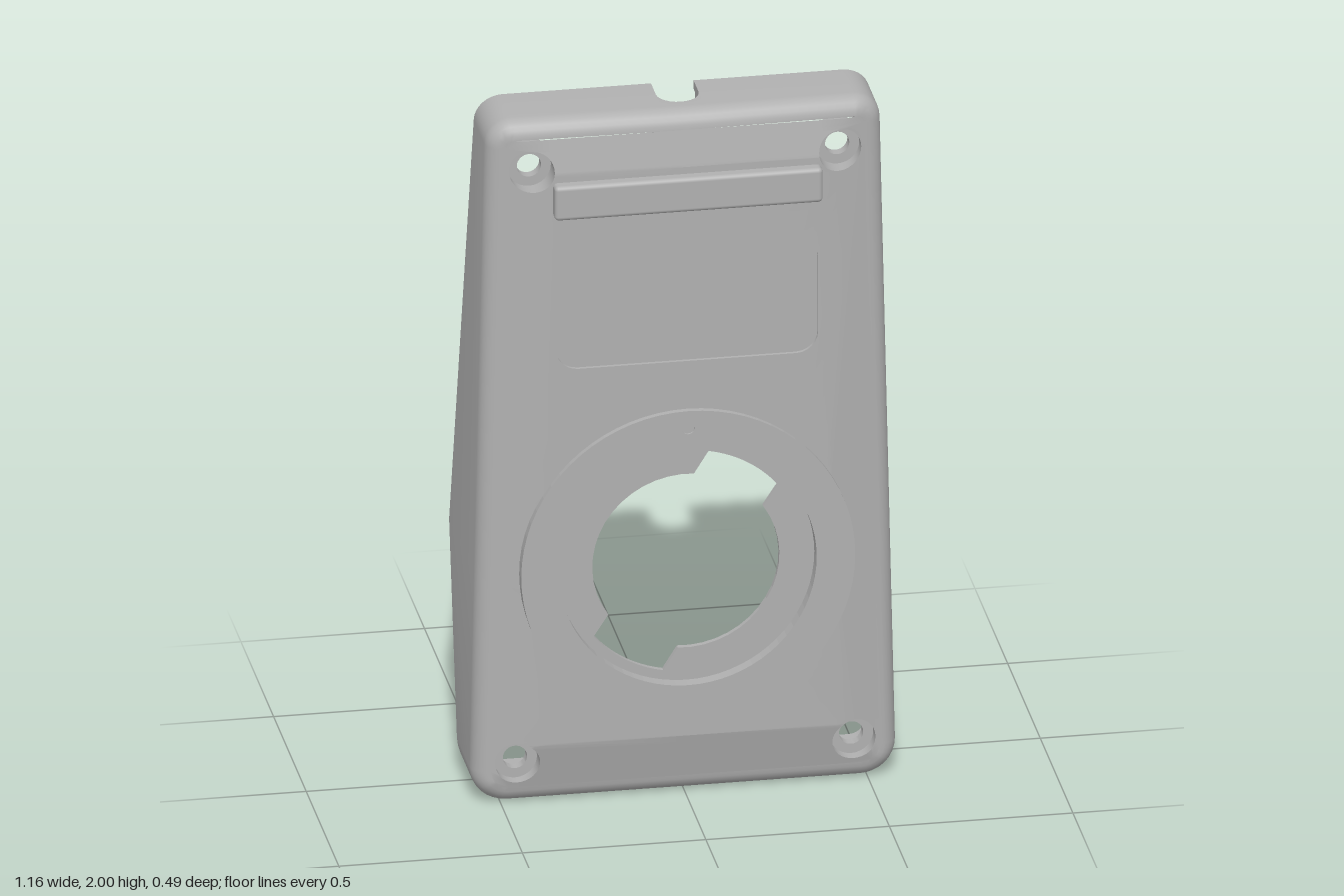
import * as THREE from 'three';
import { mergeGeometries, toCreasedNormals } from 'three/addons/utils/BufferGeometryUtils.js';
import { RoundedBoxGeometry } from 'three/addons/geometries/RoundedBoxGeometry.js';

const V2 = (x, y) => new THREE.Vector2(x, y);
const V3 = (x, y, z) => new THREE.Vector3(x, y, z);
const DIAL_Y = 0.685, WALL = 0.05, SKIN = 0.045;

// front surface: lowest of a flat plane and four gently sloping ones
const planes = [
  () => 0.213,
  (p) => 0.213 - 0.25 * (0.18 - p.y),
  (p) => 0.213 - 0.2 * (p.y - 1.85),
  (p) => 0.213 - 0.26 * (p.x + 0.0286 * (p.y - 0.2) - 0.41),
  (p) => 0.213 - 0.26 * (-p.x + 0.0286 * (p.y - 0.2) - 0.41),
];
const front = (p) => Math.min(...planes.map((f) => f(p)));
const inside = (p) => front(p) - SKIN;

// slanted back edge of the side walls
const rim = (y) => (y < 0.66 ? -0.02 - 0.225 * (y / 0.66) : -0.245 + 0.23 * ((y - 0.66) / 1.34));
const halfWidth = (y) => 0.582 - 0.0225 * y;

// tapered rounded outline, inset by d; z holds the back edge, with a cable notch at the top
function outline(d) {
  const pts = [];
  const add = (x, y, z = rim(y)) => pts.push(V3(x, y, z));
  const corner = (side, yc, r, start) => {
    for (let i = 0; i <= 8; i++) {
      const a = start + (i / 8) * Math.PI / 2;
      add(side * (halfWidth(yc) - r) + (r - d) * Math.cos(a), yc + (r - d) * Math.sin(a));
    }
  };
  corner(1, 0.1, 0.1, -Math.PI / 2);
  add(halfWidth(0.66) - d, 0.66);
  corner(1, 1.925, 0.075, 0);
  const r = 0.058;
  add(r, 2 - d);
  for (let i = 0; i <= 12; i++) {
    const a = (i / 12) * Math.PI;
    add(r * Math.cos(a), 2 - d, 0.06 + r * Math.sin(a));
  }
  add(-r, 2 - d);
  corner(-1, 1.925, 0.075, Math.PI / 2);
  add(-halfWidth(0.66) + d, 0.66);
  corner(-1, 0.1, 0.1, Math.PI);
  return pts;
}

function fromTriangles(tris) {
  return new THREE.BufferGeometry().setFromPoints(tris.flat());
}

// skin joining closed rings of points
function loft(rows) {
  const tris = [];
  for (let i = 0; i + 1 < rows.length; i++) {
    const a = rows[i], b = rows[i + 1], n = a.length;
    for (let j = 0; j < n; j++) {
      const k = (j + 1) % n;
      tris.push([a[j], a[k], b[k]], [a[j], b[k], b[j]]);
    }
  }
  return fromTriangles(tris);
}

const ring = (pts, z) => pts.map((p) => V3(p.x, p.y, typeof z === 'function' ? z(p) : z));

function circle(x, y, r, n = 32) {
  return Array.from({ length: n }, (_, i) => {
    const a = (i / n) * Math.PI * 2;
    return V2(x + r * Math.cos(a), y + r * Math.sin(a));
  });
}

function roundRect(x, y, w, h, r) {
  const pts = [];
  [[1, -1], [1, 1], [-1, 1], [-1, -1]].forEach(([sx, sy], c) => {
    for (let i = 0; i <= 6; i++) {
      const a = (c - 1 + i / 6) * Math.PI / 2;
      pts.push(V2(x + sx * (w / 2 - r) + r * Math.cos(a), y + sy * (h / 2 - r) + r * Math.sin(a)));
    }
  });
  return pts;
}

function shapeOf(pts, holes = []) {
  const s = new THREE.Shape(pts.map((p) => V2(p.x, p.y)));
  s.holes = holes.map((h) => new THREE.Path(h));
  return s;
}

// cut triangles along the line where g is zero
function split(tris, g) {
  return tris.flatMap((t) => {
    const v = t.map(g);
    if (v.every((x) => x > -1e-6) || v.every((x) => x < 1e-6)) return [t];
    const s = v.map((x) => x > 0);
    const k = [0, 1, 2].find((i) => s[i] !== s[(i + 1) % 3] && s[i] !== s[(i + 2) % 3]);
    const l = (k + 1) % 3, m = (k + 2) % 3;
    const ab = t[k].clone().lerp(t[l], v[k] / (v[k] - v[l]));
    const ac = t[k].clone().lerp(t[m], v[k] / (v[k] - v[m]));
    return [[t[k], ab, ac], [ab, t[l], t[m]], [ab, t[m], ac]];
  });
}

// pierced sheet folded onto the height z(p)
function sheet(pts, holes, z, facingBack = false) {
  const pos = new THREE.ShapeGeometry(shapeOf(pts, holes)).toNonIndexed().attributes.position;
  let tris = [];
  for (let i = 0; i < pos.count; i += 3) {
    tris.push([0, 1, 2].map((k) => V3(pos.getX(i + k), pos.getY(i + k), 0)));
  }
  planes.forEach((f, i) => planes.slice(i + 1).forEach((g) => {
    tris = split(tris, (p) => f(p) - g(p));
  }));
  return fromTriangles(tris.map((t) => {
    const r = t.map((p) => V3(p.x, p.y, z(p)));
    return facingBack ? r.reverse() : r;
  }));
}

export function createModel() {
  const group = new THREE.Group();
  const grey = new THREE.MeshStandardMaterial({ color: 0xb0b0b0 });
  const add = (name, geometry, x = 0, y = 0, z = 0) => {
    const m = new THREE.Mesh(geometry, grey);
    m.name = name;
    m.position.set(x, y, z);
    group.add(m);
    return m;
  };
  const extrude = (shape, depth) =>
    new THREE.ExtrudeGeometry(shape, { depth, bevelEnabled: false, curveSegments: 24 });

  // shell: inner wall, stepped rim, outer wall, rounded front edge
  const inner = outline(WALL), mid = outline(WALL / 2), outer = outline(0);
  const edge = inner.map(front);
  const rows = [
    ring(inner, inside),
    inner.map((p) => V3(p.x, p.y, p.z + 0.03)),
    mid.map((p) => V3(p.x, p.y, p.z + 0.03)),
    mid,
    outer,
  ];
  for (let i = 0; i <= 6; i++) {
    const a = (i / 6) * Math.PI / 2;
    rows.push(outline(WALL * (1 - Math.cos(a))).map((p, j) => V3(p.x, p.y, edge[j] - WALL + WALL * Math.sin(a))));
  }
  // flat contour for the sheets, without the doubled notch points
  const contour = inner.filter((p) => Math.abs(p.x) > 0.06);

  const screws = [[0.42, 1.86], [-0.42, 1.86], [0.458, 0.125], [-0.458, 0.125]];
  const bores = screws.map(([x, y]) => circle(x, y, 0.06));
  const label = roundRect(0, 1.4475, 0.714, 0.335, 0.06);
  const slots = [
    roundRect(0, 1.77, 0.7, 0.036, 0.017),
    roundRect(0.35, 0.99, 0.03, 0.28, 0.0149),
    roundRect(-0.25, 1.09, 0.25, 0.03, 0.0149),
  ];
  const opening = circle(0, DIAL_Y, 0.33, 64);
  const parts = [
    loft(rows),
    sheet(contour, [...bores, label, circle(0, DIAL_Y, 0.4, 64)], front),
    sheet(contour, [...bores, ...slots, opening], inside, true),
    loft([ring(opening, 0.18), ring(opening, inside)]),
    // label recess
    loft([ring(label, front), ring(label, 0.203)]),
    sheet(label, [], () => 0.203),
  ];
  // grooves on the inside
  slots.forEach((s) => parts.push(
    loft([ring(s, 0.19), ring(s, inside)]),
    sheet(s, [], () => 0.19, true),
  ));
  // screw counterbores and their bosses
  screws.forEach(([x, y], i) => {
    const hole = circle(x, y, 0.033), boss = circle(x, y, 0.068);
    parts.push(
      loft([ring(bores[i], front), ring(bores[i], 0.15), ring(hole, 0.15), ring(hole, 0.12),
        ring(boss, 0.12), ring(boss, inside)]),
    );
  });
  add('shell', toCreasedNormals(mergeGeometries(parts), 0.5));

  // raised dial ring with a small index dimple
  add('dialRing', extrude(shapeOf(circle(0, 0, 0.455, 72),
    [circle(0, 0, 0.35, 72), circle(0, 0.405, 0.018, 20)]), 0.05), 0, DIAL_Y, 0.18);
  add('indexDimple', new THREE.CylinderGeometry(0.018, 0.018, 0.04, 20).rotateX(Math.PI / 2), 0, DIAL_Y + 0.405, 0.204);

  // recessed flange with a two-notch opening
  const notched = [];
  const deg = Math.PI / 180;
  const arc = (r, a, b) => {
    for (let i = 0; i <= 16; i++) {
      const t = (a + ((b - a) * i) / 16) * deg;
      notched.push(V2(r * Math.cos(t), r * Math.sin(t)));
    }
  };
  for (const turn of [0, 180]) {
    arc(0.323, turn + 39, turn + 79);
    arc(0.255, turn + 85, turn + 214);
  }
  add('dialFlange', extrude(shapeOf(circle(0, 0, 0.36, 72), [notched]), 0.015), 0, DIAL_Y, 0.178);

  // raised bar on the front
  add('frontBar', new RoundedBoxGeometry(0.73, 0.1, 0.05, 3, 0.012), 0, 1.78, 0.22);

  // ledge and cable plate inside
  add('innerLedge', new THREE.BoxGeometry(0.3, 0.035, 0.035), -0.08, 1.715, 0.158);
  add('cablePlate', new THREE.BoxGeometry(0.16, 0.07, 0.03), 0, 1.9, 0.15);

  // locating pins round the opening
  for (const [x, y] of [[0, 1.045], [0, 0.325], [-0.36, 0.69]]) {
    add('locatingPin', new THREE.CylinderGeometry(0.02, 0.02, 0.06, 16).rotateX(Math.PI / 2), x, y, 0.145);
  }

  for (const side of [1, -1]) {
    // short ribs along the side slopes
    for (const y of [1.43, 0.935, 0.4]) {
      add('sideRib', new RoundedBoxGeometry(0.07, 0.03, 0.05, 2, 0.012), side * (halfWidth(y) - 0.1), y, 0.145);
    }
    // cross-shaped standoffs
    for (const y of [1.86, 0.16]) {
      add('standoffAcross', new THREE.BoxGeometry(0.08, 0.022, 0.06), side * 0.265, y, 0.145);
      add('standoffUpright', new THREE.BoxGeometry(0.022, 0.08, 0.06), side * 0.265, y, 0.145);
    }
  }
  return group;
}
